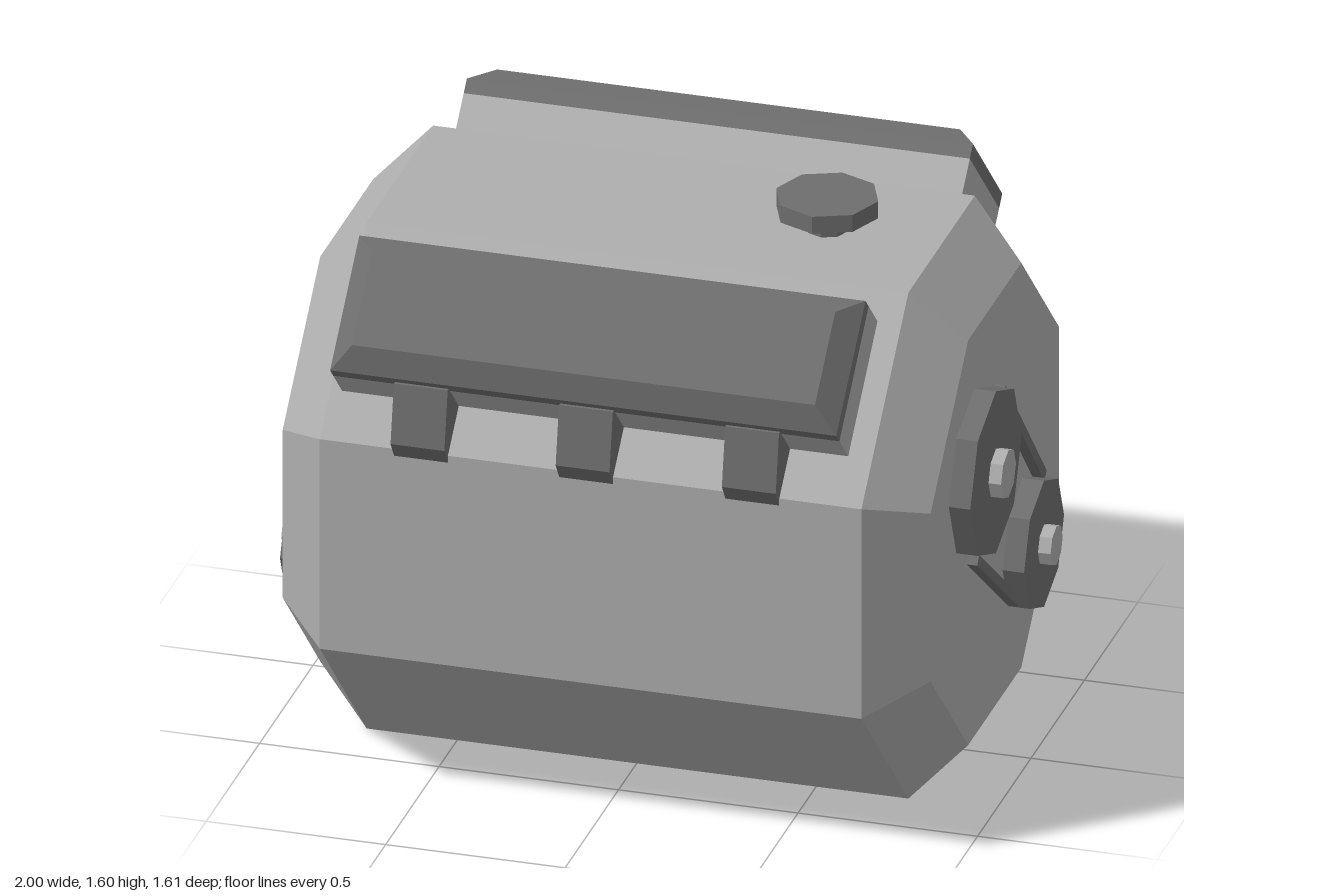
import * as THREE from 'three';

const material = (color) => new THREE.MeshStandardMaterial({ color, flatShading: true });
const light = material(0xaeaeae);
const dark = material(0x6e6e6e);

function add(parent, name, mat, geometry, x = 0, y = 0, z = 0) {
  const mesh = new THREE.Mesh(geometry, mat);
  mesh.name = name;
  mesh.position.set(x, y, z);
  parent.add(mesh);
  return mesh;
}

// Eight-sided disc with its axis along x
const disc = (radius, width) => new THREE.CylinderGeometry(radius, radius, width, 8).rotateZ(-Math.PI / 2);

// Flat belt run between two points in the y-z plane
function beltRun(parent, [z0, y0], [z1, y1]) {
  const dy = y1 - y0, dz = z1 - z0;
  const geometry = new THREE.BoxGeometry(0.04, 0.03, Math.hypot(dy, dz));
  const run = add(parent, 'belt', dark, geometry, 0.915, (y0 + y1) / 2, (z0 + z1) / 2);
  run.rotation.x = Math.atan2(-dy, dz);
}

// Box whose upper corners are pulled in by an inset
function taperedBox(w, h, d, inset) {
  const g = new THREE.BoxGeometry(w, h, d), p = g.attributes.position;
  for (let i = 0; i < p.count; i++) {
    if (p.getY(i) > 0) {
      p.setX(i, p.getX(i) - Math.sign(p.getX(i)) * inset);
      p.setZ(i, p.getZ(i) - Math.sign(p.getZ(i)) * inset);
    }
  }
  g.computeVertexNormals();
  return g;
}

// Two pulleys with hubs, joined by a belt
function pulleySet(name) {
  const set = new THREE.Group();
  set.name = name;
  for (const [radius, hubRadius, y, z] of [[0.24, 0.07, 0.94, 0.21], [0.187, 0.057, 0.52, -0.24]]) {
    add(set, 'pulley', dark, disc(radius, 0.08), 0.925, y, z);
    add(set, 'pulleyHub', light, disc(hubRadius, 0.1), 0.95, y, z);
  }
  beltRun(set, [0.03, 1.095], [-0.355, 0.665]);
  beltRun(set, [0.275, 0.705], [-0.11, 0.405]);
  return set;
}

// Tilted cylinder bank with its cover and three exhaust stubs
function cylinderBank(name, side, shift) {
  const bank = new THREE.Group();
  bank.name = name;

  // Within the head, y points out of the bank and z runs across it
  const head = new THREE.Group();
  head.name = 'cylinderHead';
  head.position.set(-0.015, 0, shift);
  head.rotation.x = side * Math.PI / 4;
  const across = -0.538 * side;
  add(head, 'headBlock', light, new THREE.BoxGeometry(1.41, 0.215, 0.387), 0, 1.3075, across);
  add(head, 'coverRim', dark, new THREE.BoxGeometry(1.41, 0.042, 0.387), 0, 1.436, across);
  add(head, 'valveCover', dark, taperedBox(1.41, 0.056, 0.387, 0.06), 0, 1.485, across);
  bank.add(head);

  const profile = new THREE.Shape([[0.66, 1.255], [0.6, 1.1], [0.73, 0.98], [0.803, 1.09], [0.772, 1.255]]
    .map(([z, y]) => new THREE.Vector2(-z, y)));
  for (const x of [-0.47, -0.01, 0.453]) {
    const g = new THREE.ExtrudeGeometry(profile, { depth: 0.15, bevelEnabled: false });
    g.translate(0, 0, -0.075).rotateY(side * Math.PI / 2);
    add(bank, 'exhaustStub', dark, g, x);
  }
  return bank;
}

export function createModel() {
  const model = new THREE.Group();
  model.name = 'engine';

  // Octagonal block with chamfered ends
  const k = 1 / Math.cos(Math.PI / 8);
  const outline = [[0, -0.9], [0.6 * k, -0.9], [0.75 * k, -0.752], [0.75 * k, 0.757], [0.6 * k, 0.905], [0, 0.905]]
    .map(([r, h]) => new THREE.Vector2(r, h));
  const block = new THREE.LatheGeometry(outline, 8, Math.PI / 8).rotateZ(-Math.PI / 2);
  add(model, 'engineBlock', light, block, 0, 0.75, 0.02);

  // Filler cap
  add(model, 'fillerNeck', dark, new THREE.CylinderGeometry(0.058, 0.058, 0.1, 8), 0.437, 1.51, 0.015);
  add(model, 'fillerCap', dark, new THREE.CylinderGeometry(0.142, 0.142, 0.05, 8), 0.437, 1.575, 0.015);

  model.add(cylinderBank('frontBank', 1, -0.006), cylinderBank('backBank', -1, 0.014));

  // The same pulley drive sits on both ends, turned half round
  const rightPulleys = pulleySet('rightPulleySet');
  rightPulleys.rotation.y = Math.PI;
  model.add(pulleySet('leftPulleySet'), rightPulleys);
  return model;
}
